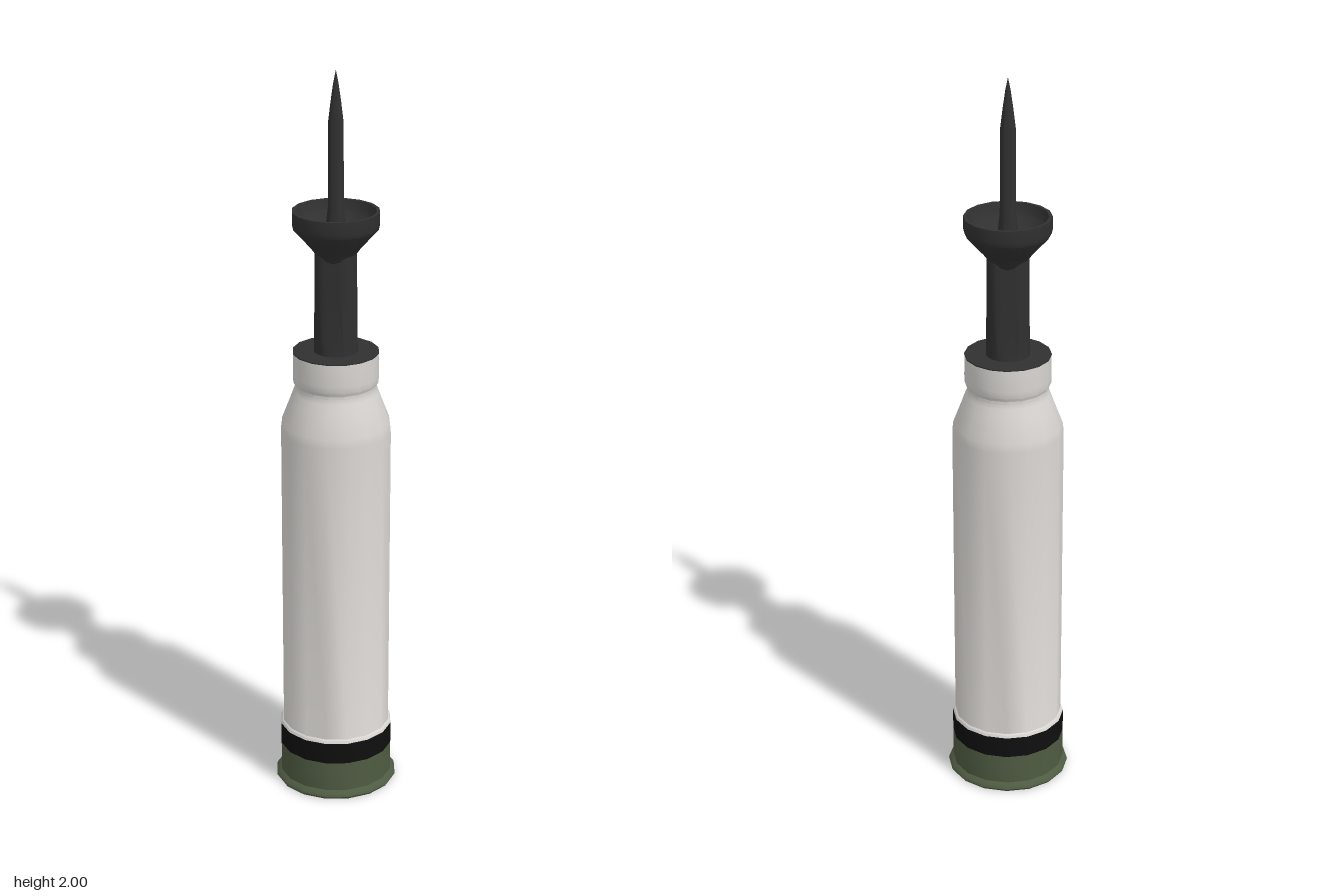
import * as THREE from 'three';
import { toCreasedNormals } from 'three/addons/utils/BufferGeometryUtils.js';

const material = (name, color) => {
  const m = new THREE.MeshStandardMaterial({ color });
  m.name = name;
  return m;
};

export function createModel() {
  const group = new THREE.Group();
  const green = material('olive green', 0x4f5b42);
  const black = material('black', 0x0e0f0e);
  const white = material('off white', 0xd8d5d1);
  const dark = material('dark grey', 0x303031);

  // Turned part: profile of [radius, height], listed so that it faces outwards
  const turned = (name, mat, profile, sides = 16, shape) => {
    const geo = new THREE.LatheGeometry(profile.map(([r, y]) => new THREE.Vector2(r, y)), sides);
    if (shape) {
      const p = geo.attributes.position;
      for (let i = 0; i < p.count; i++) shape(p, i);
    }
    const mesh = new THREE.Mesh(toCreasedNormals(geo, 0.6), mat);
    mesh.name = name;
    group.add(mesh);
  };

  // Base cap with dished underside, small primer and flared rim
  turned('baseCap', green, [
    [0, 0.008], [0.014, 0.008], [0.016, 0.02], [0.06, 0.018], [0.12, 0.008], [0.14, 0],
    [0.163, 0], [0.167, 0.006], [0.165, 0.012], [0.154, 0.022], [0.154, 0.105],
  ]);

  // Painted band above the cap
  turned('baseBand', black, [[0.154, 0.105], [0.154, 0.165]]);

  // Case: lip, long body, shoulder, groove and collar
  turned('caseBody', white, [
    [0.154, 0.165], [0.151, 0.172], [0.147, 0.175], [0.148, 1.03], [0.145, 1.055], [0.122, 1.115],
    [0.113, 1.14], [0.108, 1.152], [0.108, 1.16], [0.114, 1.17], [0.115, 1.19], [0.114, 1.25],
  ]);

  // Disc closing the neck
  turned('neckDisc', dark, [[0.115, 1.249], [0.115, 1.252], [0, 1.252]]);

  // Stem, flattened front and back and narrowing upwards
  turned('stem', dark, [
    [0.058, 1.25], [0.057, 1.3], [0.056, 1.4], [0.055, 1.52],
  ], 24, (p, i) => {
    const y = p.getY(i);
    const limit = y < 1.29 ? 0.057 : THREE.MathUtils.mapLinear(y, 1.3, 1.52, 0.05, 0.043);
    p.setZ(i, THREE.MathUtils.clamp(p.getZ(i), -limit, limit));
  });

  // Flared cup, open at the top
  turned('cup', dark, [
    [0.043, 1.5], [0.055, 1.52], [0.066, 1.535], [0.112, 1.587], [0.115, 1.6], [0.115, 1.633],
    [0.106, 1.633], [0.098, 1.606], [0.07, 1.58], [0.03, 1.565], [0, 1.563],
  ]);

  // Pointed rod rising from the cup
  turned('rod', dark, [
    [0.03, 1.56], [0.021, 1.64], [0.02, 1.865], [0.014, 1.915], [0.007, 1.965], [0, 2],
  ], 16);

  return group;
}
